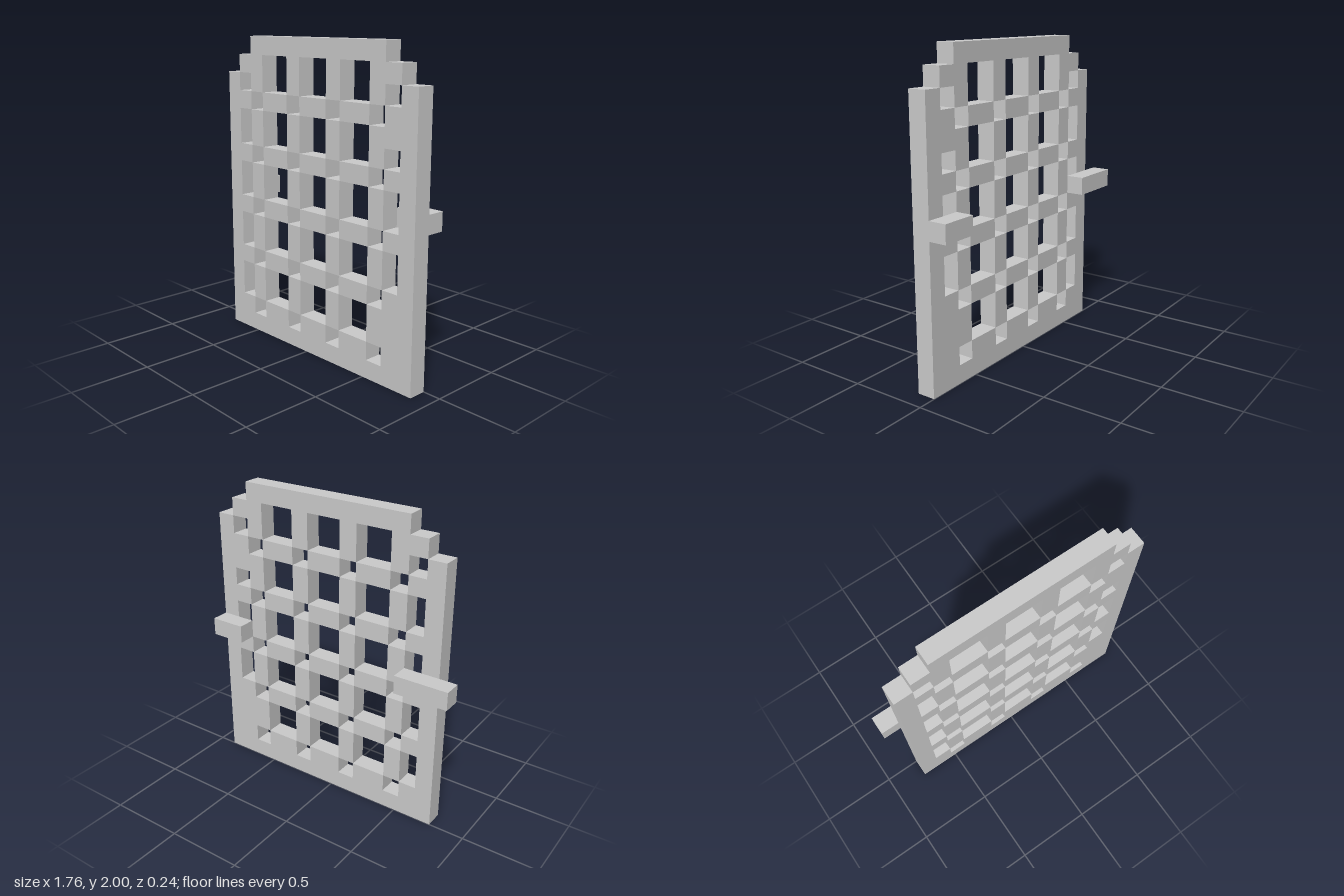
import * as THREE from 'three';

const U = 2 / 17; // one block: the gate is 15 blocks wide and 17 high

export function createModel() {
  const gate = new THREE.Group();
  gate.name = 'latticeGate';
  const material = new THREE.MeshStandardMaterial({ color: 0xcccccc, flatShading: true });

  // Box covering whole blocks; layer 0 is the panel, layer -1 is behind it
  function block(parent, name, col, row, cols, rows, layer = 0) {
    const mesh = new THREE.Mesh(new THREE.BoxGeometry(cols * U, rows * U, U), material);
    mesh.name = name;
    mesh.position.set((col + cols / 2 - 7.5) * U, (row + rows / 2) * U, (layer + 0.5) * U);
    parent.add(mesh);
  }

  function section(name) {
    const group = new THREE.Group();
    group.name = name;
    gate.add(group);
    return group;
  }

  // Outer frame with stepped top corners
  const frame = section('frame');
  block(frame, 'bottomRail', 1, 0, 14, 1);
  block(frame, 'topRail', 3, 16, 10, 1);
  block(frame, 'rightStile', 1, 1, 1, 14);
  block(frame, 'leftStile', 14, 1, 1, 14);
  block(frame, 'rightShoulder', 2, 15, 1, 1);
  block(frame, 'leftShoulder', 13, 15, 1, 1);

  // Lattice: short crossbars alternate with short uprights, meeting at corners
  const lattice = section('lattice');
  for (let row = 1; row <= 13; row += 3) {
    for (const [col, cols] of [[2, 1], [4, 2], [7, 2], [10, 2], [13, 1]]) {
      block(lattice, 'crossbar', col, row, cols, 1);
    }
    for (let col = 3; col <= 12; col += 3) block(lattice, 'upright', col, row + 1, 1, 2);
  }

  // Filled openings beside the left stile
  block(lattice, 'lowerFiller', 13, 2, 1, 2);
  block(lattice, 'upperFiller', 13, 12, 1, 1);

  // Latch bars on the back
  const latches = section('latchBars');
  block(latches, 'rightLatchBar', 0, 8, 3, 1, -1);
  block(latches, 'leftLatchBar', 13, 8, 2, 1, -1);

  return gate;
}
